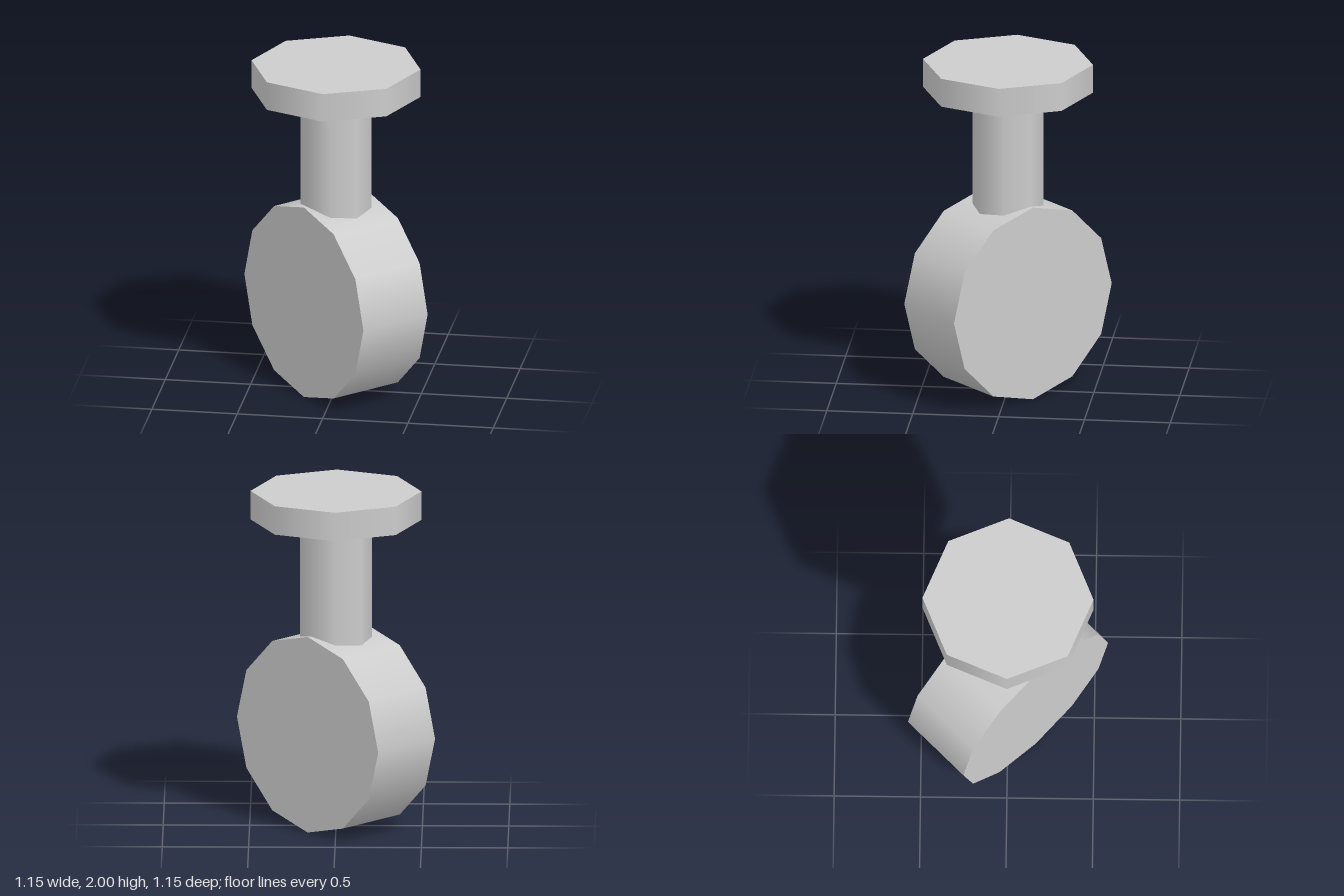
import * as THREE from 'three';

export function createModel() {
  const model = new THREE.Group();
  model.name = 'caster';
  const grey = new THREE.MeshStandardMaterial({ color: 0xcccccc });
  grey.name = 'light grey';

  // Upright low-sided cylinder between two heights
  const add = (name, radius, bottom, top, sides) => {
    const geometry = new THREE.CylinderGeometry(radius, radius, top - bottom, sides);
    const mesh = new THREE.Mesh(geometry, grey);
    mesh.name = name;
    mesh.position.y = (bottom + top) / 2;
    model.add(mesh);
    return mesh;
  };

  // Octagonal mounting plate and the stem that runs down into the wheel
  add('mountingPlate', 0.495, 1.83, 2, 8);
  add('stem', 0.208, 0.9, 1.83, 8);

  // Twelve-sided wheel, tipped on its rim and turned diagonally
  const radius = 0.585, width = 0.46;
  const wheel = add('wheel', radius, radius - width / 2, radius + width / 2, 12);
  wheel.geometry.rotateX(Math.PI / 2).rotateY(-Math.PI / 4);

  return model;
}
